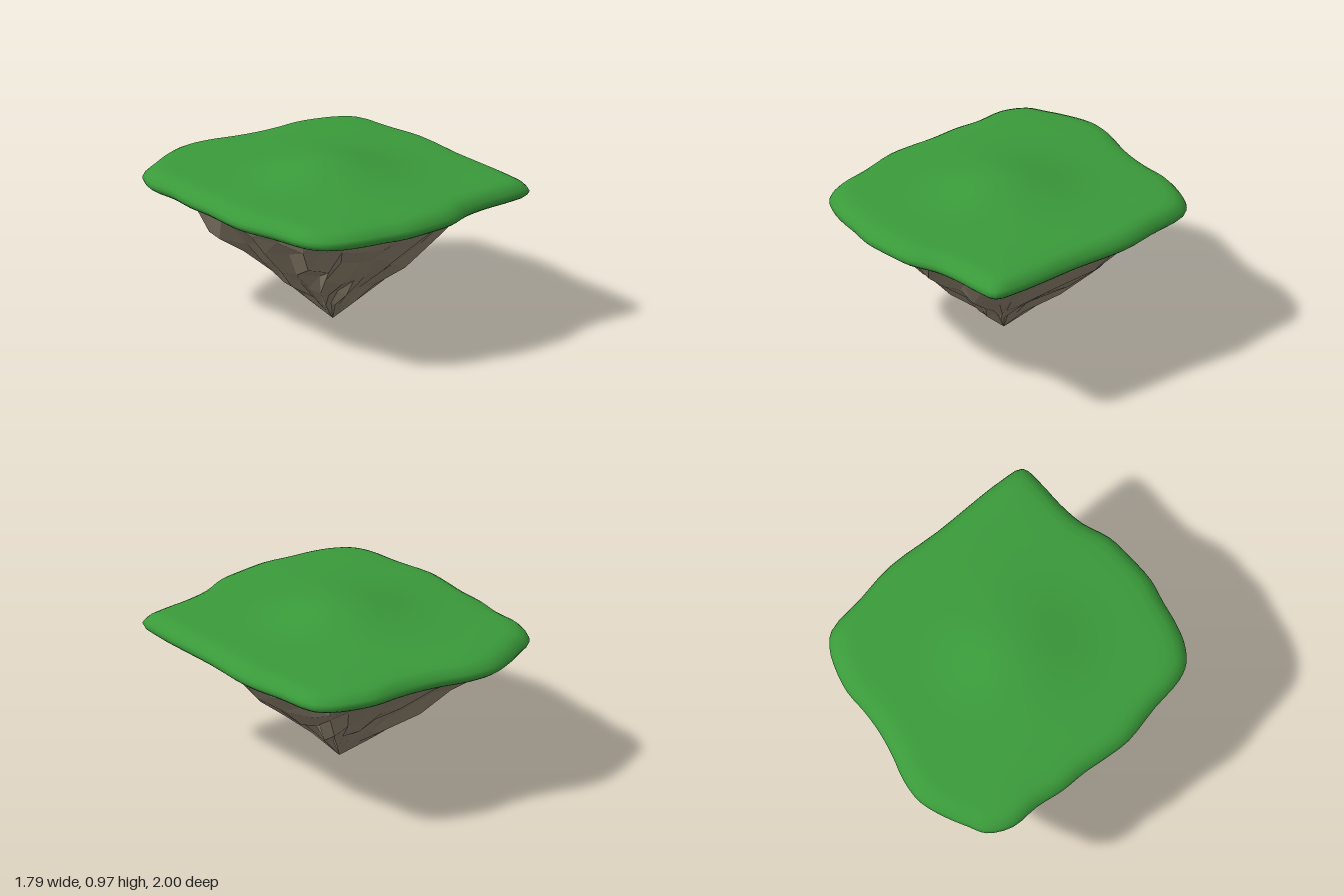
import * as THREE from 'three';
import { mergeVertices } from 'three/addons/utils/BufferGeometryUtils.js';

// Plan of the island edge as x, z pairs
const PLAN = [
  -0.13, -1, 0.02, -0.95, 0.17, -0.86, 0.31, -0.79, 0.45, -0.74, 0.6, -0.7, 0.73, -0.63, 0.83, -0.55,
  0.89, -0.45, 0.87, -0.2, 0.85, 0.06, 0.75, 0.4, 0.68, 0.7, 0.64, 0.85, 0.58, 0.99, 0.45, 0.98,
  0.28, 0.94, 0.11, 0.92, -0.07, 0.94, -0.25, 0.91, -0.41, 0.87, -0.55, 0.8, -0.68, 0.74, -0.79, 0.67,
  -0.87, 0.58, -0.9, 0.47, -0.885, 0.25, -0.88, 0, -0.84, -0.15, -0.79, -0.3, -0.75, -0.47, -0.69, -0.63,
  -0.65, -0.81, -0.55, -0.93, -0.44, -0.96, -0.3, -0.99,
];
const planPoints = [];
for (let i = 0; i < PLAN.length; i += 2) planPoints.push(new THREE.Vector3(PLAN[i], 0, PLAN[i + 1]));
const edge = new THREE.CatmullRomCurve3(planPoints, true);

// Small seeded generator, giving values from -1 to 1
function seeded(seed) {
  return () => {
    seed = (seed * 16807) % 2147483647;
    return (seed / 2147483647) * 2 - 1;
  };
}

// Skin over closed rings listed from the bottom up; place(ring, p) gives each vertex
function loft(rings, segments, place) {
  const positions = [];
  const index = [];
  rings.forEach((ring, j) => {
    for (let i = 0; i < segments; i++) {
      positions.push(...place(ring, edge.getPoint(i / segments)));
      if (j === rings.length - 1) continue;
      const a = j * segments + i;
      const b = j * segments + ((i + 1) % segments);
      index.push(a, a + segments, b, b, a + segments, b + segments);
    }
  });
  const geometry = new THREE.BufferGeometry();
  geometry.setAttribute('position', new THREE.Float32BufferAttribute(positions, 3));
  geometry.setIndex(index);
  return geometry;
}

// Grass cap: rolled rim, flat shoulder and a soft central hill
function createGrass() {
  const rings = [
    [0.78, 0.785], [0.9, 0.775], [0.97, 0.77], [0.99, 0.785], [1, 0.805], [0.99, 0.825], [0.965, 0.85],
    [0.93, 0.867], [0.88, 0.876], [0.8, 0.88], [0.7, 0.882], [0.6, 0.882], [0.5, 0.882], [0.4, 0.882],
    [0.3, 0.882], [0.2, 0.882], [0.1, 0.882], [0, 0.882],
  ];
  const geometry = mergeVertices(loft(rings, 108, ([s, y], p) => {
    const x = p.x * s;
    const z = p.z * s;
    const d2 = (x + 0.05) ** 2 + (z - 0.04) ** 2;
    const hill = y > 0.86 ? 0.092 * Math.exp(-d2 / 0.14) : 0;
    return [x, y + hill, z];
  }), 1e-4);
  geometry.computeVertexNormals();
  const grass = new THREE.Mesh(geometry, new THREE.MeshStandardMaterial({ color: 0x3a9a3a }));
  grass.name = 'grassCap';
  return grass;
}

// Faceted rock: rings narrowing to a point, roughened vertex by vertex
function createRock() {
  const random = seeded(4217);
  const tip = { x: -0.03, z: 0.04 };
  // scale, height, roughness of radius, roughness of height
  const rings = [
    [0, 0, 0, 0], [0.15, 0.14, 0.02, 0.02], [0.31, 0.265, 0.035, 0.025], [0.47, 0.4, 0.045, 0.03],
    [0.63, 0.535, 0.045, 0.03], [0.76, 0.665, 0.035, 0.025], [0.85, 0.785, 0.015, 0],
  ];
  const geometry = loft(rings, 30, ([s, y, roughR, roughY], p) => {
    // the long front corner is cut back
    const corner = Math.exp(-((p.x - 0.58) ** 2 + (p.z - 0.99) ** 2) / 0.08);
    const r = s * (1 - 0.1 * corner) + roughR * random();
    return [
      tip.x * (1 - s) + p.x * r + 0.4 * roughR * random(),
      y + roughY * random(),
      tip.z * (1 - s) + p.z * r + 0.4 * roughR * random(),
    ];
  }).toNonIndexed();
  geometry.computeVertexNormals();
  const rock = new THREE.Mesh(geometry, new THREE.MeshStandardMaterial({
    color: 0x8a7f6c, flatShading: true, side: THREE.DoubleSide,
  }));
  rock.name = 'rockBase';
  return rock;
}

export function createModel() {
  const island = new THREE.Group();
  island.name = 'floatingIsland';
  island.add(createGrass(), createRock());
  return island;
}
